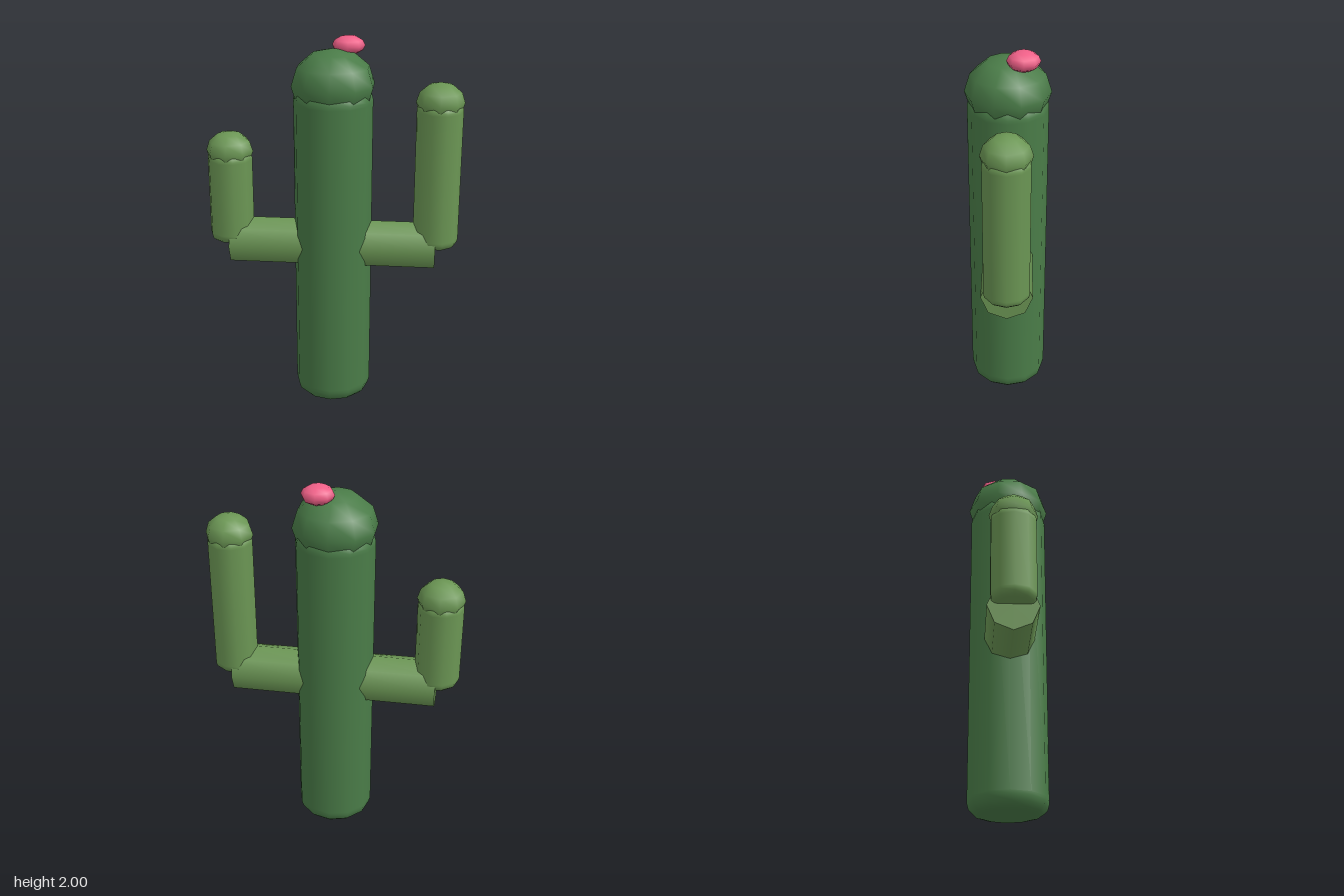
import * as THREE from 'three';

const DARK = new THREE.MeshStandardMaterial({ color: 0x4a7c48 });
const LIGHT = new THREE.MeshStandardMaterial({ color: 0x6b9654 });
const PINK = new THREE.MeshStandardMaterial({ color: 0xf06088 });

function add(parent, name, geometry, material, x = 0, y = 0, z = 0) {
  const mesh = new THREE.Mesh(geometry, material);
  mesh.name = name;
  mesh.position.set(x, y, z);
  parent.add(mesh);
  return mesh;
}

// Upright stem standing on y = 0, with rounded rims at both ends
function stem(radius, height, bevel, sides, turn = 0) {
  const half = [[0, 0], [radius - bevel, 0]];
  for (const a of [30, 60, 90]) {
    const t = THREE.MathUtils.degToRad(a);
    half.push([radius - bevel + bevel * Math.sin(t), bevel * (1 - Math.cos(t))]);
  }
  half.push([radius, bevel * 1.3]); // keeps the long side evenly shaded
  const top = half.map(([r, y]) => [r, height - y]).reverse();
  const points = [...half, ...top].map(([r, y]) => new THREE.Vector2(r, y));
  return new THREE.LatheGeometry(points, sides, turn);
}

// Squashed low-poly ball with a corner facing +z
function ball(radius, halfHeight, sides) {
  return new THREE.SphereGeometry(1, sides, 6)
    .rotateY(Math.PI / 2)
    .scale(radius, halfHeight, radius);
}

// Side arm: a horizontal stub, an upright stem and a domed tip
function arm(name, side, tipY) {
  const group = new THREE.Group();
  group.name = name;
  const stub = new THREE.CylinderGeometry(0.131, 0.131, 0.5, 8).rotateZ(Math.PI / 2);
  add(group, 'armStub', stub, LIGHT, side * 0.3, 0.892, 0);
  add(group, 'armStem', stem(0.12, tipY - 0.9, 0.035, 10, Math.PI / 2), LIGHT, side * 0.55, 0.9, 0);
  add(group, 'armTip', ball(0.125, 0.105, 8), LIGHT, side * 0.55, tipY, 0);
  return group;
}

export function createModel() {
  const cactus = new THREE.Group();
  cactus.name = 'cactus';

  // Trunk and its dome
  add(cactus, 'trunk', stem(0.207, 1.75, 0.06, 12), DARK);
  add(cactus, 'trunkDome', ball(0.22, 0.186, 10), DARK, 0, 1.76, 0);

  // Tall arm on the left, short arm on the right
  cactus.add(arm('leftArm', 1, 1.68), arm('rightArm', -1, 1.394));

  // Blossom on the dome
  add(cactus, 'blossom', ball(0.085, 0.05, 8), PINK, 0.073, 1.95, -0.077);

  return cactus;
}
